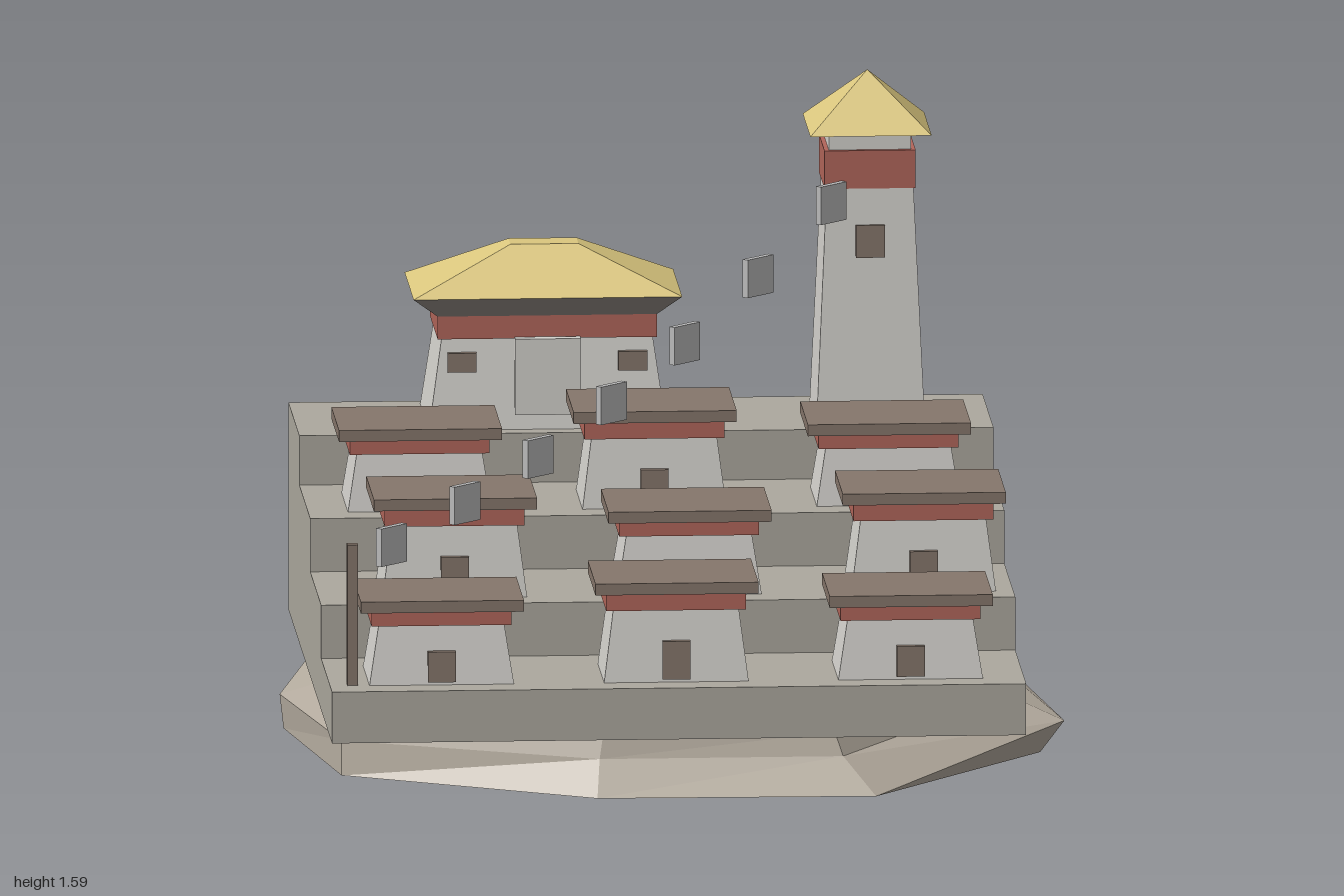
import * as THREE from 'three';

const mat = (name, color) => {
  const m = new THREE.MeshStandardMaterial({ color });
  m.name = name;
  return m;
};

export function createModel() {
  const wall = mat('whitewash', 0xd3d1cc);
  const stone = mat('terrace stone', 0xaca89e);
  const rock = mat('rock', 0xb5ac9f);
  const brown = mat('roof brown', 0x85766b);
  const red = mat('red frieze', 0xb1655a);
  const gold = mat('gilded roof', 0xdac67e);
  const eaveMat = mat('eave grey brown', 0x87807a);
  const cloth = mat('flag cloth', 0xbababa);
  const model = new THREE.Group();
  model.name = 'terracedHillTown';

  const add = (parent, name, geo, material, x = 0, y = 0, z = 0) => {
    const mesh = new THREE.Mesh(geo, material);
    mesh.name = name;
    mesh.position.set(x, y, z);
    parent.add(mesh);
    return mesh;
  };

  // Box standing on y = 0 whose top is resized, giving battered walls and hipped roofs
  const frustum = (w0, d0, w1, d1, h) => {
    const g = new THREE.BoxGeometry(w0, h, d0).toNonIndexed();
    g.translate(0, h / 2, 0);
    const p = g.attributes.position;
    for (let i = 0; i < p.count; i++) {
      if (p.getY(i) > h / 2) {
        p.setX(i, Math.sign(p.getX(i)) * w1 / 2);
        p.setZ(i, Math.sign(p.getZ(i)) * d1 / 2);
      }
    }
    g.computeVertexNormals();
    return g;
  };
  const block = (w, h, d) => frustum(w, d, w, d, h);

  // Rough nine-sided rock: [x, z] outlines at three heights
  const rings = [
    [0, [[0.94, 0.42], [0.48, 0.985], [-0.24, 0.97], [-0.88, 0.62], [-0.99, -0.02],
      [-0.83, -0.76], [-0.15, -0.96], [0.63, -0.99], [0.94, -0.26]]],
    [0.09, [[1.0, 0.46], [0.4, 0.9], [-0.23, 0.9], [-0.88, 0.61], [-1.0, -0.02],
      [-0.84, -0.77], [-0.13, -0.88], [0.59, -0.9], [0.9, -0.25]]],
    [0.15, [[0.86, 0.42], [0.38, 0.88], [-0.22, 0.885], [-0.68, 0.55], [-0.79, -0.02],
      [-0.7, -0.62], [-0.1, -0.86], [0.53, -0.87], [0.82, -0.22]]],
  ].map(([y, pts]) => pts.map(([x, z]) => [x, y, z]));
  const verts = [];
  for (let i = 0; i < 9; i++) {
    const j = (i + 1) % 9;
    for (let k = 0; k < 2; k++) {
      const lo = rings[k], hi = rings[k + 1];
      verts.push(...lo[j], ...lo[i], ...hi[i], ...lo[j], ...hi[i], ...hi[j]);
    }
    verts.push(0, 0, 0, ...rings[0][i], ...rings[0][j]);
    verts.push(0, 0.15, 0, ...rings[2][j], ...rings[2][i]);
  }
  const rockGeo = new THREE.BufferGeometry();
  rockGeo.setAttribute('position', new THREE.Float32BufferAttribute(verts, 3));
  rockGeo.computeVertexNormals();
  add(model, 'rockBase', rockGeo, rock);

  // Four stepped terraces, as one stair profile extruded across the width
  const levels = [0.28, 0.42, 0.56, 0.69];
  const edges = [0.927, 0.476, 0.028, -0.421, -0.868];
  const profile = new THREE.Shape();
  profile.moveTo(edges[4], 0.145);
  profile.lineTo(edges[0], 0.145);
  levels.forEach((y, i) => {
    profile.lineTo(edges[i], y);
    profile.lineTo(edges[i + 1], y);
  });
  const stairs = new THREE.ExtrudeGeometry(profile, { depth: 1.796, bevelEnabled: false });
  stairs.rotateY(-Math.PI / 2);
  stairs.scale(-1, 1, -1); // half turn pairing keeps winding while z follows the profile
  stairs.rotateY(Math.PI);
  add(model, 'terraces', stairs, stone, 0.872);

  // Flat-roofed houses, alternating short and tall
  const house = (x, y, z, tall) => {
    const g = new THREE.Group();
    g.name = 'house';
    g.position.set(x, y, z);
    const h = tall ? 0.265 : 0.225;
    const band = tall ? 0.048 : 0.041;
    const under = h - 0.03;
    const doorH = tall ? 0.1 : 0.08;
    add(g, 'houseWalls', frustum(0.374, 0.265, 0.325, 0.228, under - band), wall);
    add(g, 'houseFrieze', block(0.362, band, 0.248), red, 0, under - band);
    add(g, 'houseRoof', block(0.422, 0.03, 0.315), brown, 0, under);
    add(g, 'houseDoor', block(0.072, doorH, 0.02), brown, 0, 0.008, 0.13);
    model.add(g);
  };
  const rowZ = [0.715, 0.265, -0.185];
  rowZ.forEach((z, row) => {
    [-0.635, -0.028, 0.578].forEach((x, col) => {
      const shift = row === 1 ? 0.062 : 0;
      house(x + shift, levels[row] - (row === 2 ? 0.005 : 0), z, (row + col) % 2 === 1);
    });
  });

  // Great hall with a gilded hipped roof
  const hall = new THREE.Group();
  hall.name = 'greatHall';
  hall.position.set(-0.278, 0.69, -0.65);
  add(hall, 'hallWalls', frustum(0.615, 0.36, 0.545, 0.3, 0.24), wall);
  add(hall, 'hallFrieze', block(0.567, 0.06, 0.315), red, 0, 0.235);
  add(hall, 'hallEave', frustum(0.567, 0.315, 0.695, 0.372, 0.05), eaveMat, 0, 0.295);
  add(hall, 'hallRoof', frustum(0.695, 0.372, 0.176, 0.08, 0.115), gold, 0, 0.345);
  add(hall, 'hallCurtain', block(0.17, 0.2, 0.03), wall, 0, 0.04, 0.178);
  for (const s of [-1, 1]) {
    add(hall, 'hallWindow', block(0.075, 0.05, 0.02), brown, s * 0.221, 0.15, 0.163);
  }
  model.add(hall);

  // Watchtower with a pyramid roof
  const tower = new THREE.Group();
  tower.name = 'watchtower';
  tower.position.set(0.56, 0.69, -0.653);
  add(tower, 'towerWalls', frustum(0.28, 0.29, 0.224, 0.23, 0.62), wall);
  add(tower, 'towerFrieze', block(0.236, 0.1, 0.236), red, 0, 0.61);
  add(tower, 'towerNeck', block(0.212, 0.05, 0.212), wall, 0, 0.71);
  add(tower, 'towerRoof', frustum(0.314, 0.314, 0.001, 0.001, 0.145), gold, 0, 0.755);
  for (const s of [-1, 1]) {
    add(tower, 'towerWindow', block(0.075, 0.085, 0.02), brown, 0, 0.43, s * 0.12);
  }
  model.add(tower);

  // Pole and the line of flags rising towards the tower
  add(model, 'flagPole', block(0.028, 0.37, 0.028), brown, -0.865, 0.28, 0.83);
  [0.625, 0.693, 0.773, 0.872, 0.987, 1.122, 1.272].forEach((y, i) => {
    const flag = add(model, 'flag', new THREE.BoxGeometry(0.1, 0.1, 0.018), cloth,
      -0.757 + i * 0.2023, y, 0.72 - i * 0.2017);
    flag.rotation.y = Math.PI / 4;
  });

  return model;
}
